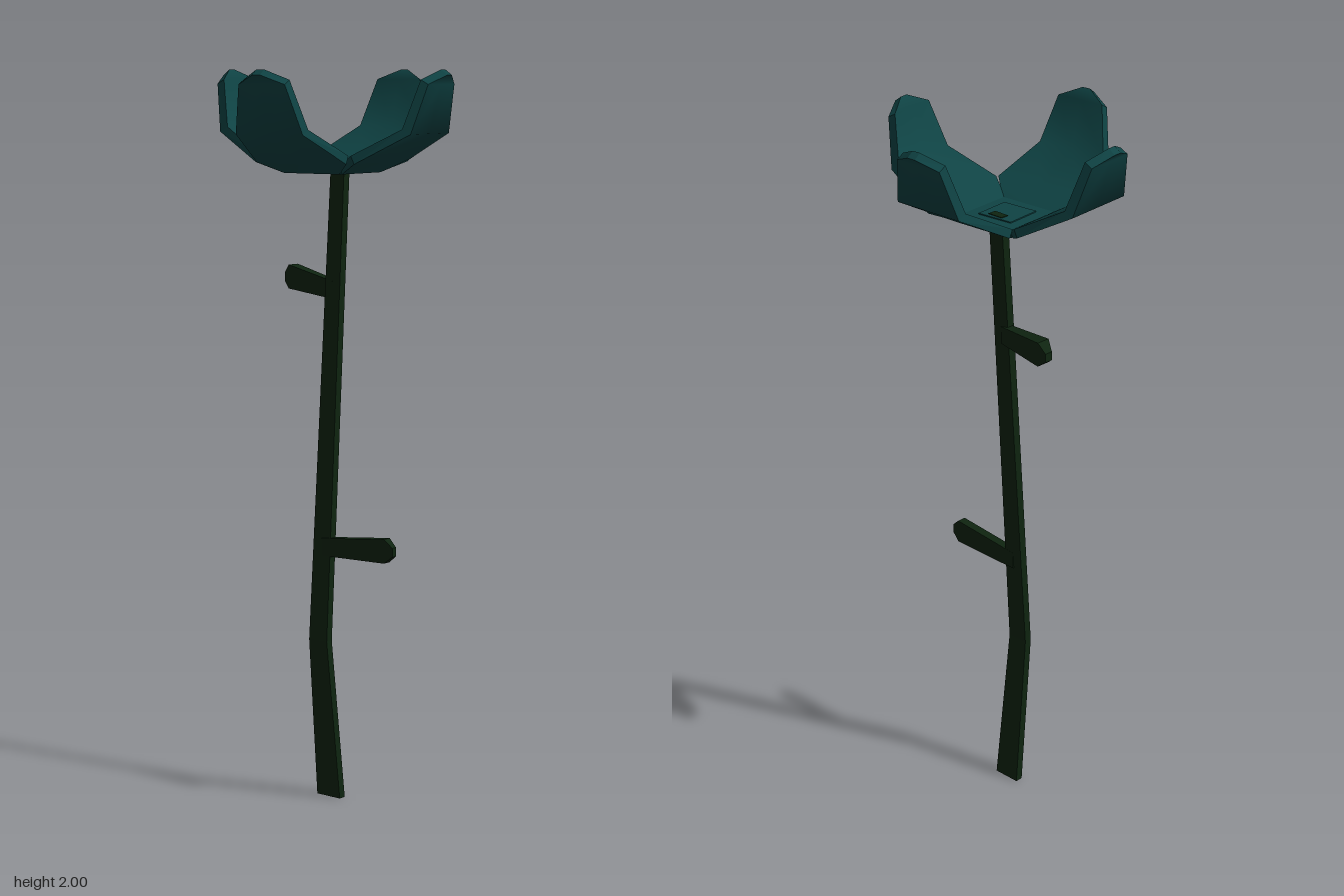
import * as THREE from 'three';

function mesh(name, geometry, material) {
  const m = new THREE.Mesh(geometry, material);
  m.name = name;
  return m;
}

function fromPoints(positions, indices) {
  const g = new THREE.BufferGeometry();
  g.setAttribute('position', new THREE.Float32BufferAttribute(positions.flat(), 3));
  g.setIndex(indices);
  return g;
}

// Flat-sided solid joining four-cornered rings, closed at both ends
function loft(rings) {
  const idx = [];
  const last = (rings.length - 1) * 4;
  for (let i = 0; i < last; i += 4) {
    for (let k = 0; k < 4; k++) {
      const n = (k + 1) % 4;
      idx.push(i + k, i + n, i + 4 + n, i + k, i + 4 + n, i + 4 + k);
    }
  }
  idx.push(0, 2, 1, 0, 3, 2, last, last + 1, last + 2, last, last + 2, last + 3);
  const g = fromPoints(rings.flat(), idx).toNonIndexed();
  g.computeVertexNormals();
  return g;
}

// Side twig: sections are [x, y, z, half height, half depth], dir is the sign of x
function twig(sections, dir) {
  return loft(sections.map(([x, y, z, h, d]) =>
    [[-1, -1], [1, -1], [1, 1], [-1, 1]].map(([v, u]) => [x, y + v * h, z + u * d * dir])));
}

// Petal rows: inner radius, inner height, outer radius, outer height, half width
const PETAL = [
  [0.085, 1.745, 0.095, 1.725, 0.09],
  [0.14, 1.776, 0.15, 1.754, 0.142],
  [0.272, 1.845, 0.297, 1.832, 0.105],
  [0.308, 1.972, 0.33, 1.96, 0.072],
  [0.335, 1.998, 0.354, 1.984, 0.012],
];
const BASE_TWIST = 0.06;

function petal(quarter, twist) {
  const cols = [-1, 0, 1];
  const place = (r, y, w, row) => {
    const a = quarter * Math.PI / 2 + (row === 0 ? BASE_TWIST : twist);
    return [w * Math.cos(a) + r * Math.sin(a), y, r * Math.cos(a) - w * Math.sin(a)];
  };
  const inner = [], outer = [];
  PETAL.forEach(([ri, yi, ro, yo, w], row) => cols.forEach((c) => {
    inner.push(place(ri, yi, c * w, row));
    outer.push(place(ro, yo, c * w, row));
  }));
  // Inner and outer faces, each smooth
  const up = [], down = [];
  for (let i = 0; i < PETAL.length - 1; i++) {
    for (let j = 0; j < 2; j++) {
      const a = i * 3 + j, b = a + 3, c = a + 4, d = a + 1;
      up.push(a, b, c, a, c, d);
      down.push(a, c, b, a, d, c);
    }
  }
  // Rim around the edge
  const n = PETAL.length;
  const loop = [];
  for (let i = 0; i < n; i++) loop.push(i * 3);
  loop.push(n * 3 - 2);
  for (let i = n - 1; i >= 0; i--) loop.push(i * 3 + 2);
  const rim = [];
  for (let k = 0; k < loop.length - 1; k++) {
    const p = loop[k], q = loop[k + 1];
    rim.push(outer[p], outer[q], inner[q], outer[p], inner[q], inner[p]);
  }
  return [fromPoints(inner, up), fromPoints(outer, down), fromPoints(rim, rim.map((_, i) => i))]
    .map((g) => { g.computeVertexNormals(); return g; });
}

export function createModel() {
  const model = new THREE.Group();
  model.name = 'flower';
  const teal = new THREE.MeshStandardMaterial({ color: 0x0f4344 });
  teal.name = 'petalTeal';
  const green = new THREE.MeshStandardMaterial({ color: 0x0e2410 });
  green.name = 'stemGreen';

  // Bent, tapering stem: [y, z, x, half width, half depth]
  const stem = [
    [0, 0.012, 0.005, 0.04, 0.011],
    [0.45, 0.052, 0, 0.031, 0.011],
    [1.75, -0.032, 0.002, 0.023, 0.012],
  ].map(([y, z, x, w, d]) =>
    [[-1, 1], [1, 1], [1, -1], [-1, -1]].map(([u, v]) => [x + u * w, y, z + v * d]));
  model.add(mesh('stem', loft(stem), green));

  // Two blunt side twigs
  model.add(mesh('lowerTwig', twig([
    [0, 0.709, 0.035, 0.024, 0.013],
    [0.215, 0.723, 0.035, 0.033, 0.013],
    [0.24, 0.722, 0.035, 0.012, 0.008],
  ], 1), green));
  model.add(mesh('upperTwig', twig([
    [0, 1.409, -0.012, 0.024, 0.013],
    [-0.195, 1.432, -0.07, 0.033, 0.02],
    [-0.222, 1.43, -0.078, 0.012, 0.012],
  ], -1), green));

  // Flower floor with a slightly raised centre
  const floor = mesh('flowerFloor', new THREE.BoxGeometry(0.18, 0.02, 0.18), teal);
  floor.position.y = 1.735;
  floor.rotation.y = BASE_TWIST;
  const centre = mesh('flowerCentre', new THREE.BoxGeometry(0.106, 0.004, 0.106), teal);
  centre.position.y = 1.746;
  centre.rotation.y = BASE_TWIST + 0.03;
  model.add(floor, centre);

  // Four petals, each turned a little differently
  const names = ['frontPetal', 'leftPetal', 'backPetal', 'rightPetal'];
  [0.095, 0.14, 0.037, 0.07].forEach((twist, quarter) => {
    const group = new THREE.Group();
    group.name = names[quarter];
    petal(quarter, twist).forEach((g, i) =>
      group.add(mesh(['petalInside', 'petalOutside', 'petalRim'][i], g, teal)));
    model.add(group);
  });

  return model;
}
